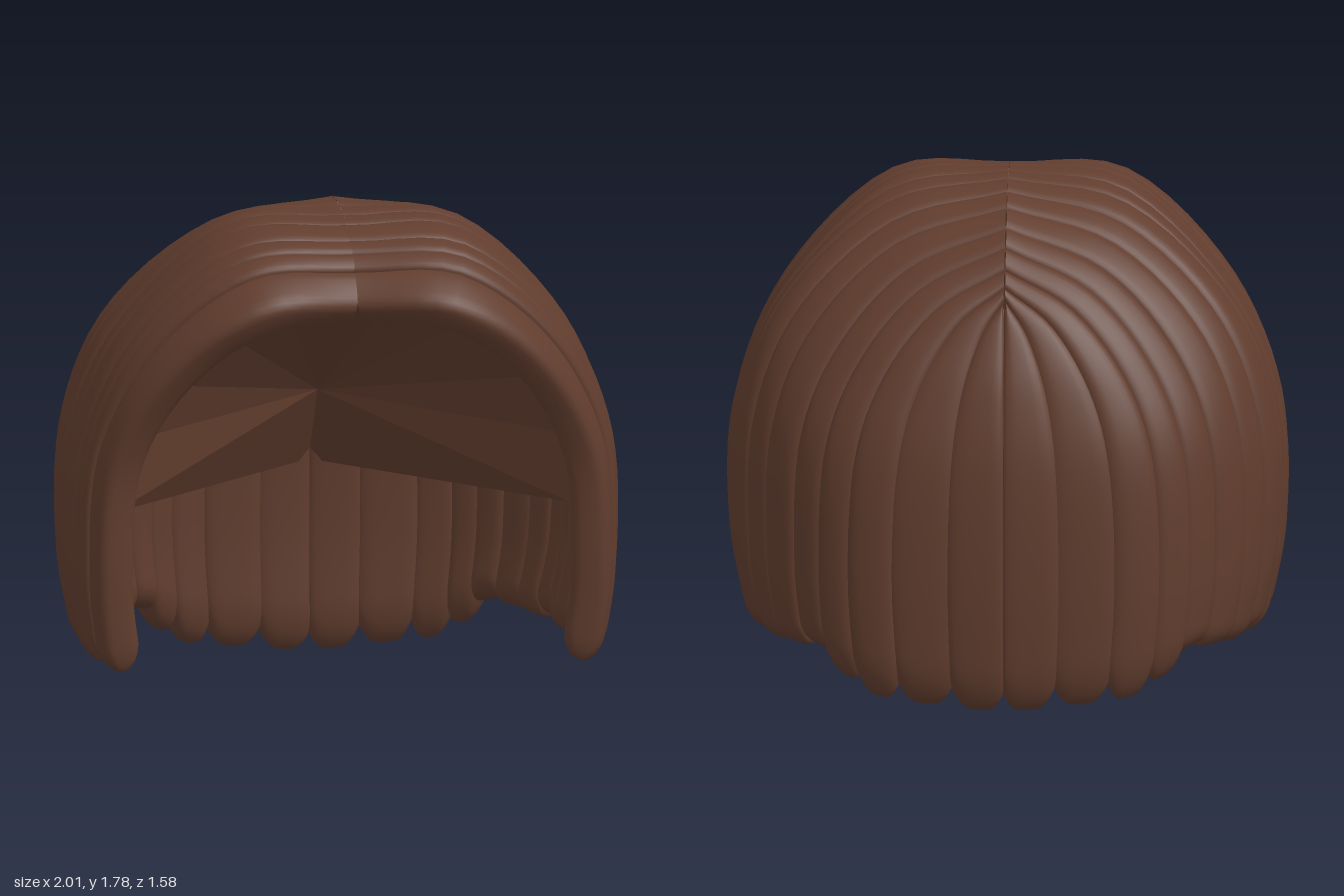
import * as THREE from 'three';

// Guide strands of the left half, front to back; each runs from the parting to the hem
const GUIDES = [
  [[0, 1.51, 0.69], [0.33, 1.52, 0.79], [0.65, 1.32, 0.72], [0.87, 0.95, 0.61], [0.91, 0.5, 0.58], [0.88, 0.18, 0.55]],
  [[0, 1.69, 0.51], [0.4, 1.675, 0.53], [0.74, 1.39, 0.46], [0.93, 1.0, 0.38], [0.96, 0.55, 0.36], [0.91, 0.18, 0.36]],
  [[0, 1.765, 0.24], [0.42, 1.73, 0.2], [0.79, 1.37, 0.1], [0.965, 0.97, 0.07], [0.985, 0.55, 0.06], [0.92, 0.17, 0.06]],
  [[0, 1.77, -0.05], [0.42, 1.68, -0.1], [0.77, 1.37, -0.21], [0.93, 0.97, -0.26], [0.94, 0.5, -0.27], [0.88, 0.17, -0.28]],
  [[0, 1.67, -0.34], [0.34, 1.53, -0.39], [0.58, 1.27, -0.48], [0.71, 0.95, -0.55], [0.73, 0.5, -0.57], [0.7, 0.19, -0.58]],
  [[0, 1.53, -0.51], [0.2, 1.4, -0.57], [0.36, 1.17, -0.65], [0.44, 0.9, -0.71], [0.46, 0.5, -0.73], [0.43, 0.1, -0.73]],
  [[0, 1.45, -0.58], [0, 1.33, -0.635], [0, 1.13, -0.71], [0, 0.87, -0.765], [0, 0.48, -0.785], [0, 0.07, -0.765]],
];

const spline = (pts) => new THREE.CatmullRomCurve3(pts, false, 'catmullrom', 0.5);
const guideCurves = GUIDES.map((g) => spline(g.map((p) => new THREE.Vector3(...p))));
const clamp = THREE.MathUtils.clamp;
const spow = (x, p) => Math.sign(x) * Math.pow(Math.abs(x), p);

// Surface spanned by the guides at one level v: returns point and outward normal for u in 0..6
function level(v) {
  const ring = (t) => spline(guideCurves.map((c) => c.getPoint(t)));
  const e = 0.01;
  const here = ring(v), before = ring(Math.max(0, v - e)), after = ring(Math.min(1, v + e));
  return (u) => {
    const t = clamp(u / 6, 0, 1);
    const du = here.getPoint(Math.min(1, t + e)).sub(here.getPoint(Math.max(0, t - e)));
    const dv = after.getPoint(t).sub(before.getPoint(t));
    return { p: here.getPoint(t), n: dv.cross(du).normalize() };
  };
}

// Flat, rounded lock of hair between u0 and u1, with a tapering tip; neighbours overlap
function lockGeometry(u0, u1, { drop, lift, tipLength, tipWidth, round }, side) {
  const ROWS = 36, SEG = 28;
  const pos = [], idx = [];
  const overlap = (u1 - u0) * 0.1;
  const lo = Math.max(0, u0 - overlap), hi = u1 + overlap;
  const mid = (lo + hi) / 2, half = (hi - lo) / 2;
  for (let j = 0; j <= ROWS; j++) {
    // rows bunch up towards the tip
    const v = 1 - Math.pow(1 - j / ROWS, 1.5);
    const k = clamp((v - 1 + tipLength) / tipLength, 0, 1);
    const taper = Math.sqrt(1 - k * k);
    const at = level(v);
    for (let i = 0; i < SEG; i++) {
      const a = (i / SEG) * Math.PI * 2;
      const w = spow(Math.cos(a), 0.75) * (tipWidth + (1 - tipWidth) * taper);
      const s = Math.sin(a);
      const thick = (s > 0 ? 0.07 : 0.075) * spow(s, round) * taper;
      const { p, n } = at(mid + half * w);
      p.addScaledVector(n, thick - 0.06 + lift * Math.min(1, v * 3));
      p.y -= drop * Math.pow(v, 4);
      pos.push(side * Math.max(0, p.x), p.y, p.z);
    }
  }
  for (let j = 0; j < ROWS; j++) {
    for (let i = 0; i < SEG; i++) {
      const a = j * SEG + i, b = j * SEG + ((i + 1) % SEG);
      const c = a + SEG, d = b + SEG;
      if (side > 0) idx.push(a, b, c, b, d, c);
      else idx.push(a, c, b, b, c, d);
    }
  }
  const geo = new THREE.BufferGeometry();
  geo.setAttribute('position', new THREE.Float32BufferAttribute(pos, 3));
  geo.setIndex(idx);
  geo.computeVertexNormals();
  return geo;
}

export function createModel() {
  const group = new THREE.Group();
  group.name = 'hair';
  const hair = new THREE.MeshStandardMaterial({ color: 0x613d2e, side: THREE.DoubleSide });

  const addLocks = (name, edges, options) => {
    for (const side of [1, -1]) {
      const half = new THREE.Group();
      half.name = (side > 0 ? 'left' : 'right') + name;
      for (let i = 0; i < edges.length - 1; i++) {
        const mesh = new THREE.Mesh(lockGeometry(edges[i], edges[i + 1], options(i), side), hair);
        mesh.name = 'lock' + (i + 1);
        half.add(mesh);
      }
      group.add(half);
    }
  };

  // Side locks, from the rounded fringe to behind the ears
  addLocks('SideLocks', [0, 0.6, 0.9, 1.2, 1.65, 2.0, 2.4, 2.75, 3.15, 3.5, 3.9, 4.3], (i) => ({
    drop: 0.015 * Math.sin(i * 2.3 + 1), lift: 0.005 * (i % 2), tipLength: 0.06, tipWidth: 0.6, round: i ? 0.4 : 0.6,
  }));

  // Back locks, longer and with pointed tips
  addLocks('BackLocks', [4.3, 4.72, 5.15, 5.6, 6], (i) => ({
    drop: [0.04, 0.06, 0.06, 0.07][i], lift: 0.008 + 0.005 * (i % 2), tipLength: 0.08, tipWidth: 0.15, round: 0.4,
  }));

  // Faceted lining that closes the crown from inside: a fan around its lowest ridge point
  const hub = [0, 1.0, -0.45];
  const rim = [[0, 0.7, -0.7], [0.82, 0.7, 0.23], [0.82, 0.95, 0.25], [0.72, 1.17, 0.27], [0.5, 1.4, 0.3], [0.25, 1.56, 0.33], [0, 1.6, 0.33]];
  const pts = [];
  for (const s of [1, -1]) {
    for (let i = 0; i < rim.length - 1; i++) {
      const tri = s > 0 ? [hub, rim[i], rim[i + 1]] : [hub, rim[i + 1], rim[i]];
      for (const [x, y, z] of tri) pts.push(s * x, y, z);
    }
  }
  const lining = new THREE.BufferGeometry();
  lining.setAttribute('position', new THREE.Float32BufferAttribute(pts, 3));
  lining.computeVertexNormals();
  const liningMesh = new THREE.Mesh(lining, hair);
  liningMesh.name = 'crownLining';
  group.add(liningMesh);

  // Stand on the ground and centre front to back
  const box = new THREE.Box3().setFromObject(group);
  group.position.set(0, -box.min.y, -(box.min.z + box.max.z) / 2);
  return group;
}
